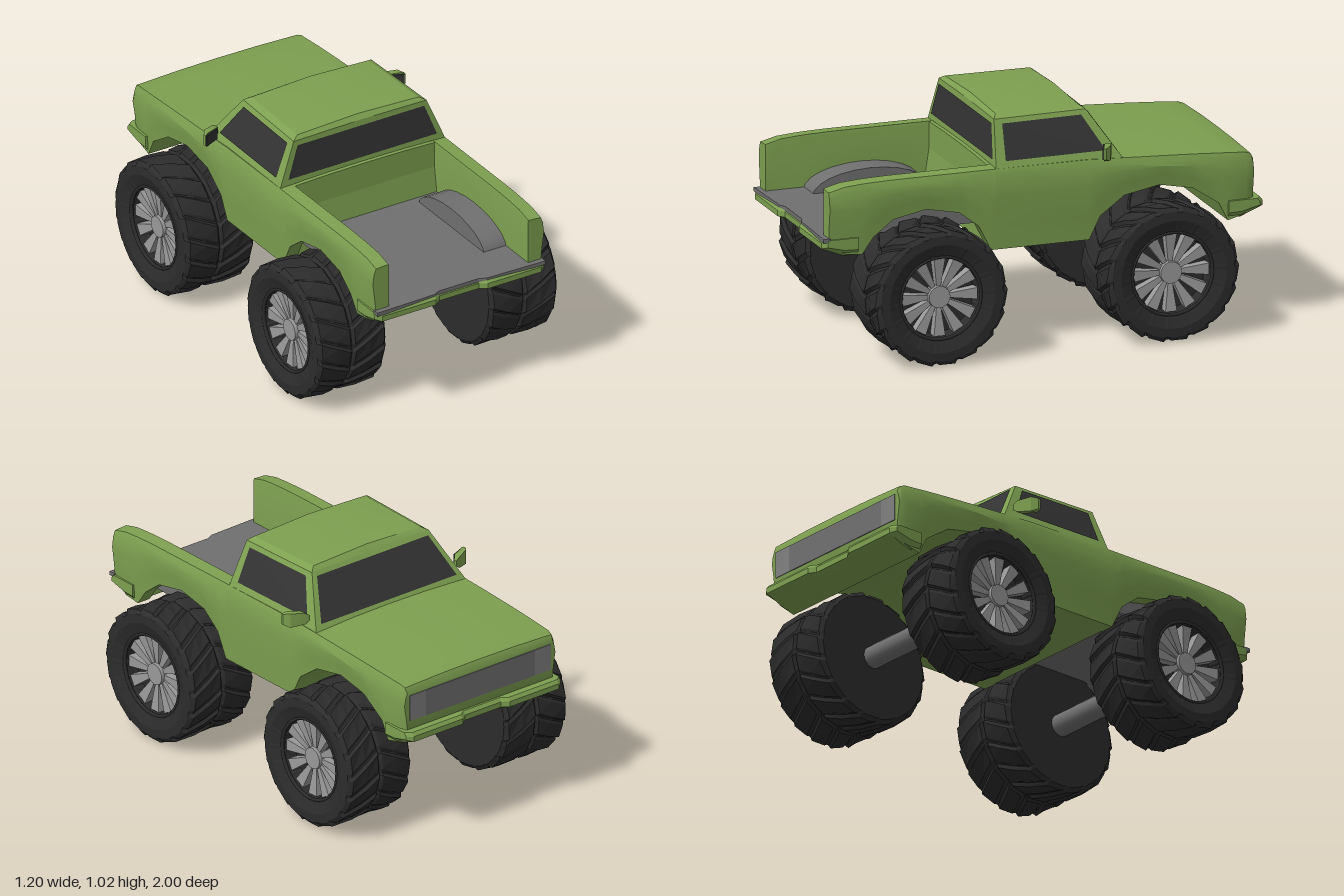
import * as THREE from 'three';
import { toCreasedNormals } from 'three/addons/utils/BufferGeometryUtils.js';

const mat = (color, extra = {}) => new THREE.MeshStandardMaterial({ color, ...extra });
const GREEN = mat(0x7da050);
const GREY = mat(0x707070);
const RIM = mat(0x999999);
const RUBBER = mat(0x2c2c2c);
const TREAD = mat(0x2c2c2c, { flatShading: true });
const GLASS = mat(0x333333, { side: THREE.DoubleSide });

function add(parent, name, geometry, material, x = 0, y = 0, z = 0) {
  const mesh = new THREE.Mesh(geometry, material);
  mesh.name = name;
  mesh.position.set(x, y, z);
  parent.add(mesh);
  return mesh;
}

// Skin a row of closed rings of [x, y, z] points and cap both ends
function loft(rings, crease = 0.5) {
  const tris = [];
  const n = rings[0].length;
  for (let i = 0; i < rings.length - 1; i++) {
    for (let j = 0; j < n; j++) {
      const k = (j + 1) % n, a = rings[i], b = rings[i + 1];
      tris.push([a[j], a[k], b[k]], [a[j], b[k], b[j]]);
    }
  }
  const centre = (r) => [0, 1, 2].map((c) => r.reduce((s, p) => s + p[c], 0) / n);
  const first = rings[0], last = rings[rings.length - 1];
  for (let j = 0; j < n; j++) {
    const k = (j + 1) % n;
    tris.push([centre(first), first[k], first[j]], [centre(last), last[j], last[k]]);
  }
  // Turn the faces outwards whatever the ring direction
  const o = centre(first);
  const v = (p) => new THREE.Vector3(p[0] - o[0], p[1] - o[1], p[2] - o[2]);
  const volume = tris.reduce((s, [a, b, c]) => s + v(a).dot(v(b).cross(v(c))), 0);
  if (volume < 0) tris.forEach((t) => t.reverse());
  const g = new THREE.BufferGeometry();
  g.setAttribute('position', new THREE.Float32BufferAttribute(tris.flat(2), 3));
  return toCreasedNormals(g, crease);
}

// Outer flank of the body from the sill (yb) up to the shoulder (yt)
const flank = (w, yb, yt, z) => [
  [w - 0.012, yb, z],
  [w - 0.006, yb + (yt - yb) * 0.3, z],
  [w + 0.004, yb + (yt - yb) * 0.65, z],
  [w - 0.002, yt - 0.03, z],
  [w - 0.012, yt - 0.004, z],
];

function buildBody(g) {
  // Nose and cab hull: [z, sill, top, half width]
  const hull = [
    [-0.957, 0.55, 0.725, 0.412], [-0.945, 0.52, 0.748, 0.416], [-0.92, 0.48, 0.757, 0.42],
    [-0.84, 0.46, 0.763, 0.422], [-0.8, 0.54, 0.766, 0.423], [-0.68, 0.62, 0.774, 0.424],
    [-0.53, 0.65, 0.782, 0.425], [-0.37, 0.62, 0.79, 0.425], [-0.26, 0.54, 0.795, 0.426],
    [-0.21, 0.44, 0.798, 0.426], [0.23, 0.44, 0.8, 0.426],
  ].map(([z, yb, yt, w]) => {
    const half = flank(w, yb, yt, z);
    const other = half.map(([x, y]) => [-x, y, z]).reverse();
    return [[0, yb, z], ...half, [0.2, yt + 0.003, z], [0, yt + 0.005, z], [-0.2, yt + 0.003, z], ...other];
  });
  add(g, 'hull', loft(hull), GREEN);

  // Bed sides with rear wheel arches
  const bed = [
    [0.22, 0.44, 0.8], [0.235, 0.44, 0.8], [0.29, 0.55, 0.8], [0.38, 0.62, 0.8], [0.53, 0.65, 0.8],
    [0.68, 0.62, 0.8], [0.77, 0.55, 0.798], [0.82, 0.48, 0.796], [0.9, 0.49, 0.79], [0.972, 0.55, 0.772],
  ];
  for (const s of [1, -1]) {
    const rings = bed.map(([z, yb, yt]) =>
      [...flank(0.426, yb, yt, z), [0.352, yt, z], [0.35, yt - 0.01, z], [0.35, yb, z]]
        .map(([x, y]) => [s * x, y, z]));
    add(g, 'bedSide', loft(rings), GREEN);

    // Wheel tub inside the bed
    const tub = new THREE.Shape();
    tub.moveTo(-0.26, 0);
    for (let i = 1; i <= 12; i++) {
      const a = Math.PI * (1 - i / 12);
      tub.lineTo(0.26 * Math.cos(a), 0.1 * Math.sin(a));
    }
    const tubGeo = new THREE.ExtrudeGeometry(tub, { depth: 0.115, bevelEnabled: false });
    tubGeo.translate(0, 0, -0.0575).rotateY(Math.PI / 2);
    add(g, 'wheelTub', toCreasedNormals(tubGeo, 0.5), GREY, s * 0.296, 0.556, 0.54);
  }

  // Bed floor with a notched tail edge
  const floor = new THREE.Shape([
    [-0.352, 0.225], [0.352, 0.225], [0.352, 0.965], [0.422, 0.965], [0.422, 0.998], [0.13, 0.99],
    [0.1, 0.975], [-0.1, 0.975], [-0.13, 0.99], [-0.422, 0.998], [-0.422, 0.965], [-0.352, 0.965],
  ].map(([x, z]) => new THREE.Vector2(x, z)));
  const floorGeo = new THREE.ExtrudeGeometry(floor, { depth: 0.018, bevelEnabled: false });
  add(g, 'bedFloor', floorGeo.rotateX(Math.PI / 2), GREY, 0, 0.567, 0);

  // Sloping wall at the front of the bed
  add(g, 'bedFrontWall', loft([-0.352, 0.352].map((x) =>
    [[x, 0.55, 0.2], [x, 0.55, 0.25], [x, 0.8, 0.212], [x, 0.8, 0.19]])), GREEN);

  // Bumpers, notched in the middle: s = 1 tail, -1 nose
  for (const s of [1, -1]) {
    const top = s > 0 ? 0.56 : 0.548, drop = s > 0 ? 0 : 0.012;
    const rings = [[0.426, 0.98, 0.03], [0.4, 1, 0], [0.13, 1, 0], [0.1, 0.978, 0]];
    const all = [...rings, ...rings.map(([x, z, y]) => [-x, z, y]).reverse()];
    add(g, s > 0 ? 'tailBumper' : 'noseBumper', loft(all.map(([x, z, lift]) => [
      [x, top, s * 0.84], [x, 0.478 - drop + lift, s * 0.84], [x, 0.48 - drop + lift, s * 0.9],
      [x, 0.52 - drop + lift * 0.3, s * z], [x, top - 0.015, s * z], [x, top, s * (z - 0.012)],
    ])), GREEN);
  }

  // Grille and lamps on the nose
  add(g, 'grille', new THREE.BoxGeometry(0.6, 0.12, 0.02), GREY, 0, 0.648, -0.951);
  for (const s of [1, -1]) {
    add(g, 'headlight', new THREE.BoxGeometry(0.088, 0.12, 0.02), mat(0x808080), s * 0.344, 0.648, -0.951);
  }
}

function buildCab(g) {
  // Base, roof edge and crown rings: [y, half width front, rear, z front, rear, middle rise]
  const levels = [
    [0.785, 0.412, 0.418, -0.365, 0.213, 0],
    [0.992, 0.322, 0.334, -0.228, 0.192, 0.005],
    [1.008, 0.295, 0.305, -0.205, 0.175, 0.012],
  ];
  const rings = levels.map(([y, wf, wr, zf, zr, up]) => [
    [-wf, y, zf], [0, y + up, zf], [wf, y, zf], [wr, y, zr], [0, y + up, zr], [-wr, y, zr],
  ]);
  rings.push(rings[2].map(([x, y, z]) => [x * 0.5, 1.02, z * 0.55]));
  add(g, 'cab', loft(rings, 0.4), GREEN);

  // Window pane inset on a cab face, lifted just off the surface
  const [base, roof] = rings;
  const pane = (name, i, j, u0, u1, v0, v1) => {
    const [a, b, c, d] = [base[i], base[j], roof[i], roof[j]].map((p) => new THREE.Vector3(...p));
    const at = (u, v) => a.clone().lerp(b, u).lerp(c.clone().lerp(d, u), v);
    const n = b.clone().sub(a).cross(c.clone().sub(a)).normalize();
    if (n.dot(a.clone().add(b).setY(0).addScalar(0).setZ((a.z + b.z) + 0.15)) < 0) n.negate();
    const q = [at(u0, v0), at(u1, v0), at(u1, v1), at(u0, v1)].map((p) => p.addScaledVector(n, 0.004));
    const geo = new THREE.BufferGeometry().setFromPoints([q[0], q[1], q[2], q[0], q[2], q[3]]);
    geo.computeVertexNormals();
    add(g, name, geo, GLASS);
  };
  pane('windshield', 0, 2, 0.035, 0.965, 0.12, 0.92);
  pane('rearWindow', 5, 3, 0.035, 0.965, 0.2, 0.9);
  pane('leftWindow', 2, 3, 0.09, 0.92, 0.18, 0.9);
  pane('rightWindow', 0, 5, 0.09, 0.92, 0.18, 0.9);

  // Door mirrors
  for (const s of [1, -1]) {
    const shell = [[0.405, -0.305, 0.825, 0.85, 0.015], [0.425, -0.295, 0.81, 0.862, 0.03],
      [0.485, -0.268, 0.802, 0.868, 0.03], [0.503, -0.25, 0.812, 0.862, 0.012]]
      .map(([x, z, lo, hi, t]) => [
        [s * x, lo, z - t * 0.4], [s * x, lo, z + t * 0.6], [s * x, hi, z + t * 0.6], [s * x, hi, z - t * 0.4],
      ]);
    add(g, 'mirrorShell', loft(shell), GREEN);
    const glass = add(g, 'mirrorGlass', new THREE.BoxGeometry(0.076, 0.05, 0.006), GLASS, s * 0.462, 0.836, -0.257);
    glass.rotation.y = -s * 0.38;
  }
}

// Wheel about the x axis with its outer face towards +x
function buildWheel(side) {
  const w = new THREE.Group();
  w.name = 'wheel';
  const teeth = 18, steps = [[0, 0], [0.12, 1], [0.8, 0.5], [0.92, 0]];
  // Tread rings with chevron lugs: [x, radius, lug height]
  const rows = [[-0.17, 0.275, 0.005], [-0.155, 0.288, 0.013], [-0.08, 0.29, 0.014], [-0.012, 0.286, 0.013], [0, 0.28, 0.003]];
  const rings = [...rows, ...rows.slice(0, -1).reverse().map(([x, r, h]) => [-x, r, h])].map(([x, r, h]) => {
    const ring = [];
    for (let i = 0; i < teeth; i++) {
      for (const [t, lug] of steps) {
        const a = ((i + t) / teeth) * Math.PI * 2 + side * 1.75 * Math.abs(x);
        ring.push([x, (r + h * lug) * Math.sin(a), (r + h * lug) * Math.cos(a)]);
      }
    }
    return ring;
  });
  // Follow the sidewall into the rim recess
  const tail = rings[rings.length - 1];
  for (const [x, k] of [[0.172, 0.86], [0.155, 0.68], [0.145, 0.645], [0.09, 0.61]]) {
    rings.push(tail.map(([, y, z]) => [x, y * k, z * k]));
  }
  add(w, 'tire', loft(rings, 0.2), TREAD);

  // Hub and flared spokes
  add(w, 'hub', new THREE.CylinderGeometry(0.048, 0.052, 0.05, 20).rotateZ(-Math.PI / 2), RIM, 0.112, 0, 0);
  for (let i = 0; i < 12; i++) {
    const spoke = [[0.04, 0.009, 0.122], [0.172, 0.026, 0.136]].map(([r, h, x]) =>
      [[x, r, -h], [x, r, h], [0.09, r, h], [0.09, r, -h]]);
    add(w, 'spoke', loft(spoke), RIM).rotation.x = (i / 12) * Math.PI * 2;
  }
  add(w, 'rimRing', new THREE.TorusGeometry(0.182, 0.008, 6, 36).rotateY(Math.PI / 2), RUBBER, 0.15, 0, 0);
  return w;
}

export function createModel() {
  const truck = new THREE.Group();
  truck.name = 'monsterTruck';
  buildBody(truck);
  buildCab(truck);
  for (const z of [-0.525, 0.525]) {
    add(truck, 'axle', new THREE.CylinderGeometry(0.05, 0.05, 0.56, 20).rotateZ(Math.PI / 2), GREY, 0, 0.303, z);
    for (const s of [1, -1]) {
      const wheel = buildWheel(s);
      wheel.position.set(s * 0.43, 0.303, z);
      if (s < 0) wheel.rotation.y = Math.PI;
      truck.add(wheel);
    }
  }
  return truck;
}
